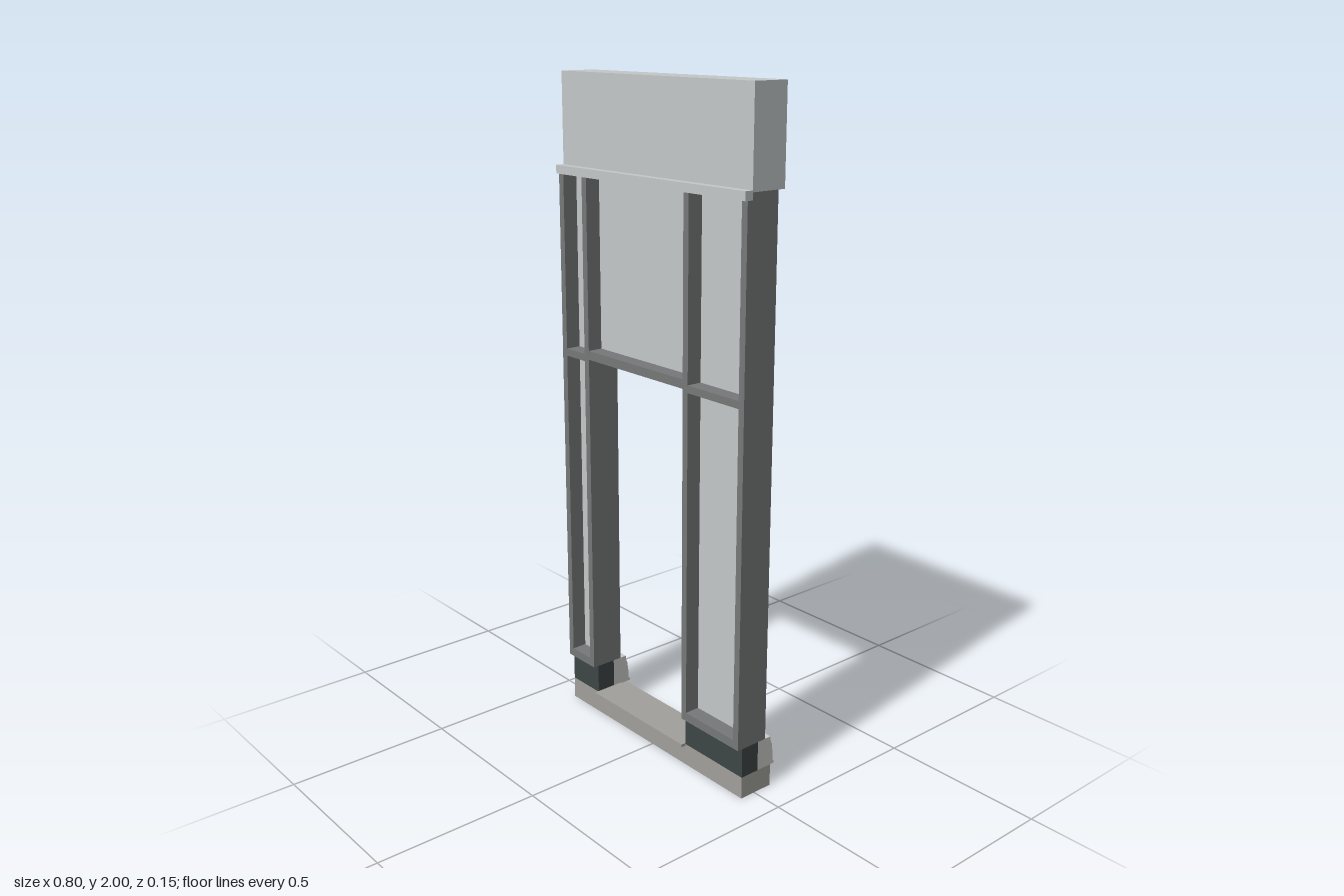
import * as THREE from 'three';

export function createModel() {
  const model = new THREE.Group();
  model.name = 'doorFrameWall';

  const mat = (name, color) => {
    const m = new THREE.MeshStandardMaterial({ color });
    m.name = name;
    return m;
  };
  const pale = mat('paleGrey', 0xc5c9c9);
  const metal = mat('frameGrey', 0x77797a);
  const dark = mat('darkPlinth', 0x3e4646);
  const stone = mat('stoneGrey', 0xa2a19c);
  const trim = mat('skirtingWhite', 0xcbcdca);

  // Box given by its extents on each axis
  const box = (name, material, [x0, x1], [y0, y1], [z0, z1]) => {
    const mesh = new THREE.Mesh(new THREE.BoxGeometry(x1 - x0, y1 - y0, z1 - z0), material);
    mesh.position.set((x0 + x1) / 2, (y0 + y1) / 2, (z0 + z1) / 2);
    mesh.name = name;
    model.add(mesh);
  };

  const wallZ = [-0.063, 0.05];
  const frameZ = [-0.04, 0.067];
  const paneZ = [0.006, 0.02];
  const bays = [[-0.4, -0.27], [0.155, 0.4]];
  const bar = 0.021;

  // Wall slab below, header above, and ledge along the header's front
  box('baseSlab', stone, [-0.4, 0.4], [0, 0.068], wallZ);
  box('sill', stone, [-0.27, 0.155], [0.062, 0.071], [-0.04, 0.065]);
  box('header', pale, [-0.4, 0.4], [1.73, 2], wallZ);
  box('ledge', pale, [-0.401, 0.401], [1.71, 1.735], [0.05, 0.076]);

  // Skirting profile: (distance behind the wall, height)
  const profile = new THREE.Shape([
    [0.012, 0.068], [0.078, 0.068], [0.078, 0.074], [0.073, 0.08], [0.072, 0.105],
    [0.068, 0.135], [0.064, 0.142], [0.062, 0.16], [0.012, 0.16],
  ].map(([d, y]) => new THREE.Vector2(d, y)));

  // Side bays: posts, rails, panes, plinth and skirting
  for (const [x0, x1] of bays) {
    const inner = [x0 + bar, x1 - bar];
    box('post', metal, [x0, x0 + bar], [0.16, 1.73], frameZ);
    box('post', metal, [x1 - bar, x1], [0.16, 1.73], frameZ);
    box('bottomRail', metal, inner, [0.16, 0.187], frameZ);
    box('middleRail', metal, inner, [1.165, 1.187], frameZ);
    box('topRail', metal, inner, [1.709, 1.73], frameZ);
    box('lowerPane', pale, inner, [0.187, 1.165], paneZ);
    box('upperPane', pale, inner, [1.187, 1.709], paneZ);
    box('plinth', dark, [x0, x1], [0.068, 0.16], [-0.012, 0.05]);

    const skirting = new THREE.Mesh(
      new THREE.ExtrudeGeometry(profile, { depth: x1 - x0, bevelEnabled: false }), trim);
    skirting.rotation.y = Math.PI / 2; // profile runs toward -z, extrusion along +x
    skirting.position.x = x0;
    skirting.name = 'skirting';
    model.add(skirting);
  }

  // Panel over the door opening
  box('doorHeadRail', metal, [-0.27, 0.155], [1.173, 1.2], frameZ);
  box('doorTopRail', metal, [-0.27, 0.155], [1.709, 1.73], frameZ);
  box('overDoorPanel', pale, [-0.27, 0.155], [1.2, 1.709], paneZ);

  return model;
}
